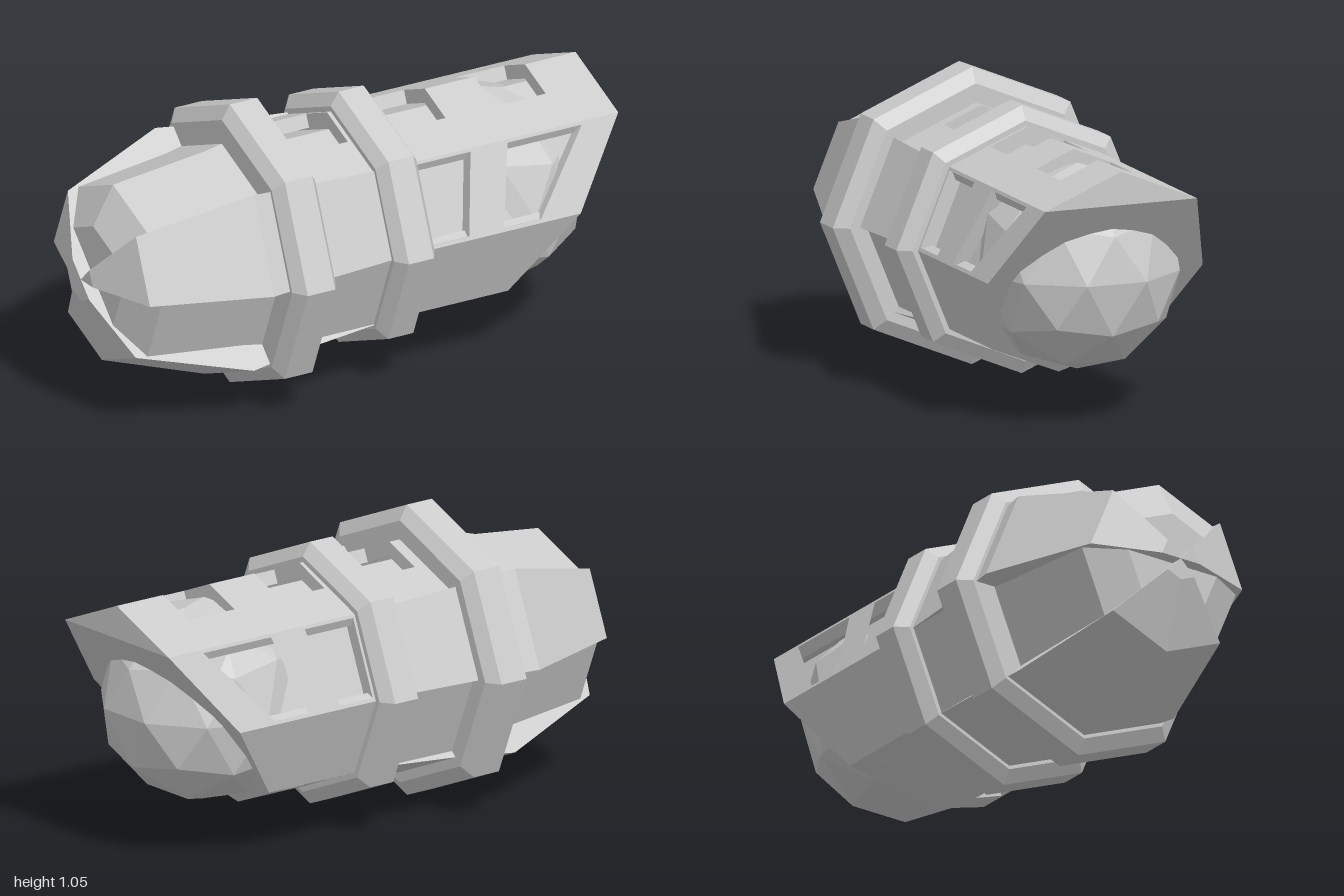
import * as THREE from 'three';

const C = 0.527;                 // height of the long axis
const R = 0.407;                 // barrel corner radius
const STEP = Math.PI / 4;        // eight-sided all along
const W = 2 * R * Math.sin(STEP / 2);
const cutX = (y) => Math.min(1, 1 + 0.774 * (y - (C + R * Math.SQRT1_2)));  // slanted muzzle cut

export function createModel() {
  const model = new THREE.Group();
  const mat = new THREE.MeshStandardMaterial({ color: 0xcccccc, flatShading: true });

  const add = (name, geo) => {
    const mesh = new THREE.Mesh(geo, mat);
    mesh.name = name;
    model.add(mesh);
    return mesh;
  };

  const clampToCut = (geo, inset = 0) => {
    const p = geo.attributes.position;
    for (let i = 0; i < p.count; i++) p.setX(i, Math.min(p.getX(i), cutX(p.getY(i)) - inset));
    geo.computeVertexNormals();
    return geo;
  };

  const fromLoops = (positions, index) => {
    const geo = new THREE.BufferGeometry();
    geo.setAttribute('position', new THREE.Float32BufferAttribute(positions, 3));
    geo.setIndex(index);
    const flat = geo.toNonIndexed();
    flat.computeVertexNormals();
    return flat;
  };

  // Octagon face number f (0 = top, 3 = bottom) as a slab with openings, on both sides.
  // Points are [x along axis, distance across the face from its upper edge].
  const panel = (name, f, outline, holes = []) => {
    for (const side of [1, -1]) {
      const start = side > 0 ? f * STEP : -(f + 1) * STEP;
      const phi = start + STEP / 2;
      const pts = (list) => list.map(([x, u]) => new THREE.Vector2(x, side > 0 ? u : W - u));
      const shape = new THREE.Shape(pts(outline));
      shape.holes = holes.map((h) => new THREE.Path(pts(h)));
      const geo = new THREE.ExtrudeGeometry(shape, { depth: 0.05, bevelEnabled: false });
      const m = new THREE.Matrix4().makeBasis(
        new THREE.Vector3(1, 0, 0),
        new THREE.Vector3(0, -Math.sin(phi), Math.cos(phi)),
        new THREE.Vector3(0, -Math.cos(phi), -Math.sin(phi)));
      m.setPosition(0, C + R * Math.cos(start), R * Math.sin(start));
      add(name, clampToCut(geo.applyMatrix4(m)));
    }
  };

  // Solid 45 degree wedge following a profile of [x, radius], on both sides
  const wedge = (name, f, profile) => {
    for (const side of [1, -1]) {
      const start = side > 0 ? f * STEP : -(f + 1) * STEP;
      const pos = [], idx = [];
      profile.forEach(([x, r], k) => {
        pos.push(x, C, 0);
        for (const a of [start, start + STEP]) pos.push(x, C + r * Math.cos(a), r * Math.sin(a));
        if (k === profile.length - 1) return;
        for (let i = 0; i < 3; i++) {
          const p = k * 3 + i, q = k * 3 + (i + 1) % 3;
          idx.push(p, q, p + 3, q, q + 3, p + 3);
        }
      });
      add(name, fromLoops(pos, idx));
    }
  };

  const ring = (name, x0, x1, bevel, rSide, rOuter) => {
    const pts = [[0.3, x0], [rSide, x0], [rOuter, x0 + bevel], [rOuter, x1 - bevel], [rSide, x1], [0.3, x1]];
    const geo = new THREE.LatheGeometry(pts.map(([r, y]) => new THREE.Vector2(r, y)), 8);
    add(name, geo.rotateZ(-Math.PI / 2).translate(0, C, 0));
  };

  // Tail: alternating low and raised petals
  const low = [[-0.95, 0], [-0.95, 0.19], [-0.87, 0.33], [-0.5, 0.372], [-0.35, 0.4]];
  const raised = [[-1, 0], [-1, 0.08], [-0.915, 0.325], [-0.5, 0.472], [-0.35, 0.45]];
  for (let f = 0; f < 4; f++) wedge(f % 2 ? 'raisedPetal' : 'lowPetal', f, f % 2 ? raised : low);

  // Collars
  ring('largeCollar', -0.43, -0.255, 0.032, 0.475, 0.527);
  ring('smallCollar', 0.01, 0.175, 0.032, 0.427, 0.475);

  // Waist between the collars, with an opening across the top ridge
  const notch = 0.1515;
  panel('waistTop', 0, [[-0.3, 0], [-0.21, 0], [-0.21, notch], [-0.005, notch], [-0.005, 0],
    [0.05, 0], [0.05, W], [-0.3, W]]);
  for (const f of [1, 2, 3]) wedge('waistSide', f, [[-0.3, f % 2 ? 0.442 : 0.412], [0.05, 0.41]]);

  // Barrel faces, with slanted windows
  const end = (f) => cutX(C + R * Math.cos(f * STEP));
  const face = (f) => [[0.1, 0], [end(f), 0], [end(f + 1), W], [0.1, W]];
  panel('barrelTop', 0, [[0.1, 0], [0.19, 0], [0.19, notch], [0.39, notch], [0.39, 0], [0.59, 0],
    [0.59, notch], [0.795, notch], [0.795, 0], [1, 0], [1, W], [0.1, W]]);
  panel('barrelUpperSide', 1, face(1), [
    [[0.185, 0.012], [0.4, 0.012], [0.33, 0.298], [0.185, 0.298]],
    [[0.55, 0.012], [0.85, 0.012], [0.62, 0.298], [0.47, 0.298]]]);
  panel('barrelLowerSide', 2, face(2));
  panel('barrelBottom', 3, face(3), [
    [[0.185, 0.012], [0.285, 0.012], [0.265, 0.15], [0.185, 0.15]],
    [[0.365, 0.012], [0.435, 0.012], [0.41, 0.15], [0.34, 0.15]]]);

  // Slanted muzzle plate
  const cap = [];
  for (let i = 0; i < 8; i++) {
    const y = C + R * Math.cos(i * STEP);
    cap.push(cutX(y), y, R * Math.sin(i * STEP));
  }
  add('muzzlePlate', fromLoops(cap, [1, 2, 3, 1, 3, 4, 1, 4, 5, 1, 5, 6, 1, 6, 7, 1, 7, 0]));

  // Inner core seen through the windows
  const core = new THREE.CylinderGeometry(0.342, 0.342, 1.3, 8).rotateZ(-Math.PI / 2).translate(0.35, C, 0);
  add('innerCore', clampToCut(core, 0.02));

  // Faceted ball in the muzzle
  const ball = new THREE.IcosahedronGeometry(0.365, 1).rotateZ(-Math.atan(2 / (1 + Math.sqrt(5))));
  add('muzzleBall', ball.translate(0.62, C, 0));

  return model;
}
